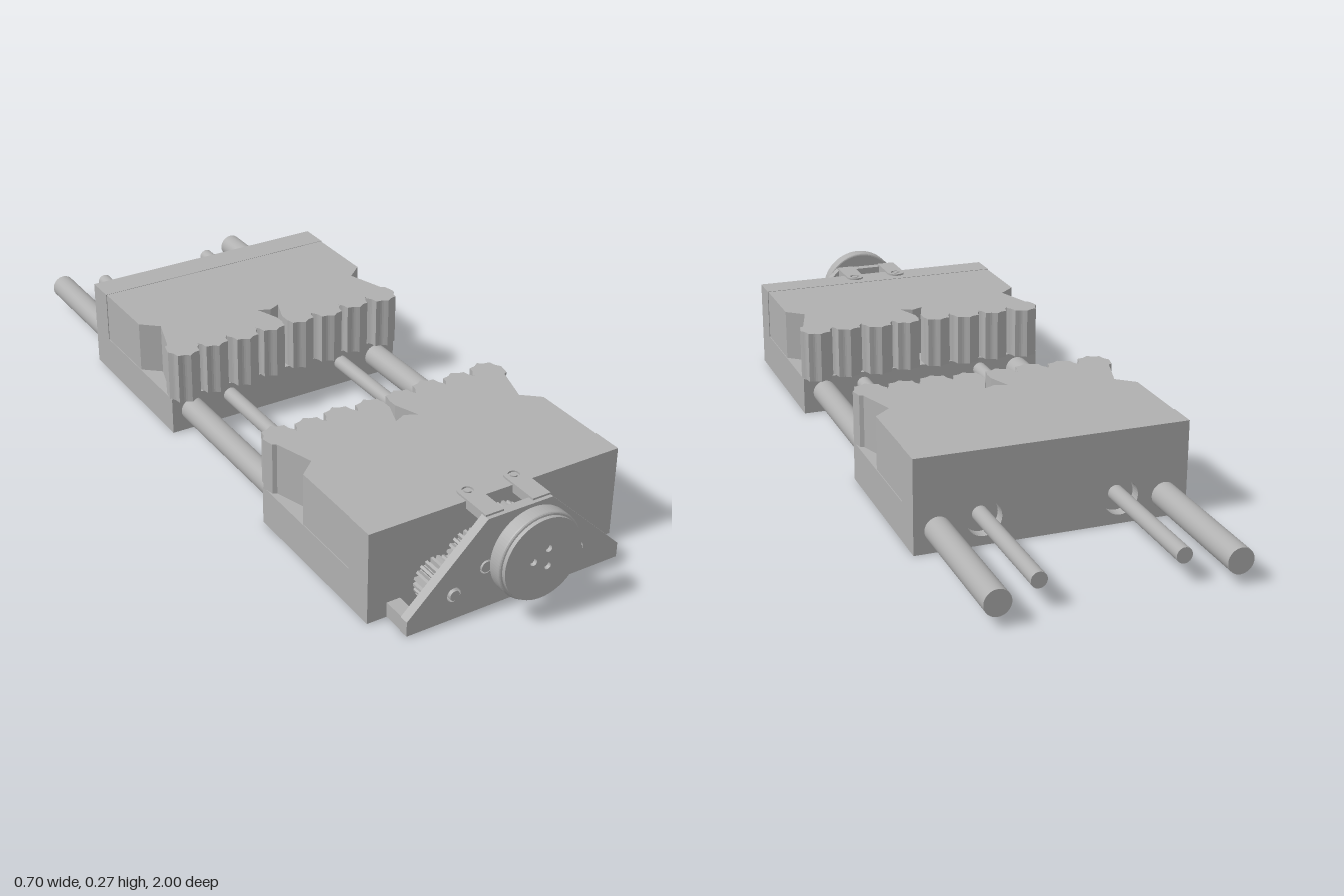
import * as THREE from 'three';

const gray = new THREE.MeshStandardMaterial({ color: 0xb0b0b0 });
gray.name = 'metalGray';

function add(parent, name, geometry, x = 0, y = 0, z = 0) {
  const mesh = new THREE.Mesh(geometry, gray);
  mesh.name = name;
  mesh.position.set(x, y, z);
  parent.add(mesh);
  return mesh;
}

// box given by its limits
function box(parent, name, x0, x1, y0, y1, z0, z1) {
  return add(parent, name, new THREE.BoxGeometry(x1 - x0, y1 - y0, z1 - z0),
    (x0 + x1) / 2, (y0 + y1) / 2, (z0 + z1) / 2);
}

// round bar along z
function rod(parent, name, r, x, y, z0, z1, r2 = r) {
  const g = new THREE.CylinderGeometry(r2, r, z1 - z0, 32).rotateX(Math.PI / 2);
  return add(parent, name, g, x, y, (z0 + z1) / 2);
}

function hole(shape, x, y, r) {
  shape.holes.push(new THREE.Path().absarc(x, y, r, 0, Math.PI * 2, true));
}

function extrude(shape, depth, bevel = 0) {
  return new THREE.ExtrudeGeometry(shape, {
    depth, curveSegments: 20, bevelEnabled: bevel > 0,
    bevelSize: bevel, bevelThickness: bevel, bevelOffset: -bevel, bevelSegments: 3,
  });
}

// jaw outline: x across, second coordinate is the distance behind the gap face
function jawShape() {
  const half = [[0.348, 0.395], [0.348, 0.19], [0.302, 0.15], [0.335, 0.045], [0.345, 0.04]];
  [0.307, 0.219, 0.131, 0.045].forEach((cx, i) => {
    const cy = i % 2 ? 0.016 : 0.008;
    for (let k = 0; k <= 24; k++) {                       // fluted round tooth
      const a = Math.PI * k / 24;
      const r = 0.045 - 0.007 * Math.abs(Math.sin(a * 4));
      half.push([Math.max(0.008, cx + r * Math.cos(a)), cy - r * Math.sin(a)]);
    }
  });
  half.push([0.008, 0.035], [0.032, 0.1]);                // swallow-tail notch
  const left = half.slice().reverse().map(([x, s]) => [-x, s]);
  return new THREE.Shape([...half, [0, 0.085], ...left].map(([x, s]) => new THREE.Vector2(x, s)));
}

// jaw block with its gap face at local z = 0 and its outer wall at z = 0.475
function jawBlock(name) {
  const block = new THREE.Group();
  block.name = name;
  box(block, 'base', -0.35, 0.35, 0.002, 0.105, 0, 0.395);
  add(block, 'toothedJaw', extrude(jawShape(), 0.14).rotateX(Math.PI / 2), 0, 0.244, 0);
  box(block, 'wall', -0.35, 0.35, 0.002, 0.245, 0.395, 0.445);
  const face = new THREE.Shape([[-0.35, 0.002], [0.35, 0.002], [0.35, 0.245], [-0.35, 0.245]]
    .map(p => new THREE.Vector2(...p)));
  [-0.175, 0.175].forEach(x => hole(face, x, 0.07, 0.045));
  add(block, 'wallFace', extrude(face, 0.03), 0, 0, 0.445);
  return block;
}

function gearGeometry(teeth, inner, outer, depth) {
  const pts = [];
  for (let i = 0; i < teeth; i++) {
    [[-0.42, inner], [-0.2, outer], [0.2, outer], [0.42, inner]].forEach(([o, r]) => {
      const a = (i + o) / teeth * Math.PI * 2;
      pts.push(new THREE.Vector2(r * Math.cos(a), r * Math.sin(a)));
    });
  }
  return extrude(new THREE.Shape(pts), depth);
}

export function createModel() {
  const model = new THREE.Group();
  model.name = 'vise';

  // two jaw blocks facing each other
  const front = jawBlock('frontJawBlock');
  front.position.z = 0.35;
  const back = jawBlock('backJawBlock');
  back.rotation.y = Math.PI;
  back.position.z = -0.14;
  model.add(front, back);

  // guide rods and lead screws
  for (const s of [-1, 1]) {
    rod(model, 'guideRod', 0.033, s * 0.29, 0.06, -1, 0.42);
    rod(model, 'leadScrew', 0.02, s * 0.175, 0.07, -0.95, 0.88);
    rod(model, 'screwEnd', 0.013, s * 0.175, 0.071, 0.87, 0.915);
  }

  // gear train: drive gear, idlers and screw gears
  const gear = gearGeometry(22, 0.047, 0.058, 0.05);
  [[0, 0.16], [0.0875, 0.116], [-0.0875, 0.116], [0.175, 0.072], [-0.175, 0.072]]
    .forEach(([x, y], i) => {
      const g = add(model, 'gear', gear, x, y, 0.832);
      g.rotation.z = i % 2 * 0.14;
      if (i === 1 || i === 2) rod(model, 'idlerShaft', 0.014, x, y, 0.82, 0.912);
    });

  // gear cover plate with feet
  const plate = new THREE.Shape([[-0.3, 0.003], [0.3, 0.003], [0.3, 0.042], [0.09, 0.245],
    [-0.09, 0.245], [-0.3, 0.042]].map(p => new THREE.Vector2(...p)));
  for (const s of [-1, 1]) {
    hole(plate, s * 0.175, 0.071, 0.0185);
    hole(plate, s * 0.0875, 0.116, 0.018);
  }
  add(model, 'coverPlate', extrude(plate, 0.025), 0, 0, 0.885);
  for (const s of [-1, 1]) {
    box(model, 'plateFoot', s * 0.28 - 0.018, s * 0.28 + 0.018, 0.003, 0.042, 0.82, 0.888);
    // top strap with rounded end and bolt
    const strap = new THREE.Shape();
    strap.moveTo(-0.025, 0.9);
    strap.lineTo(-0.025, 0.795);
    strap.absarc(0, 0.795, 0.025, Math.PI, Math.PI * 2, false);
    strap.lineTo(0.025, 0.9);
    hole(strap, 0, 0.795, 0.014);
    add(model, 'topStrap', extrude(strap, 0.025).rotateX(Math.PI / 2), s * 0.065, 0.25, 0);
    add(model, 'strapBolt', new THREE.CylinderGeometry(0.009, 0.009, 0.02, 20), s * 0.065, 0.24, 0.795);
  }

  // hand knob with flared neck and three finger holes
  rod(model, 'knobShaft', 0.025, 0, 0.16, 0.82, 0.92);
  rod(model, 'knobNeck', 0.045, 0, 0.16, 0.908, 0.952, 0.07);
  const disc = new THREE.Shape().absarc(0, 0, 0.113, 0, Math.PI * 2, false);
  const rim = new THREE.ExtrudeGeometry(disc, {
    depth: 0.028, curveSegments: 48, bevelSize: 0.006, bevelThickness: 0.006,
    bevelOffset: -0.006, bevelSegments: 3,
  });
  add(model, 'knob', rim, 0, 0.16, 0.956);
  const cap = new THREE.Shape().absarc(0, 0, 0.106, 0, Math.PI * 2, false);
  for (let i = 0; i < 3; i++) {
    const a = Math.PI + i * Math.PI * 2 / 3;
    hole(cap, 0.027 * Math.cos(a), 0.027 * Math.sin(a), 0.009);
  }
  add(model, 'knobCap', new THREE.ExtrudeGeometry(cap, {
    depth: 0.01, curveSegments: 48, bevelEnabled: false,
  }), 0, 0.16, 0.99);

  return model;
}
